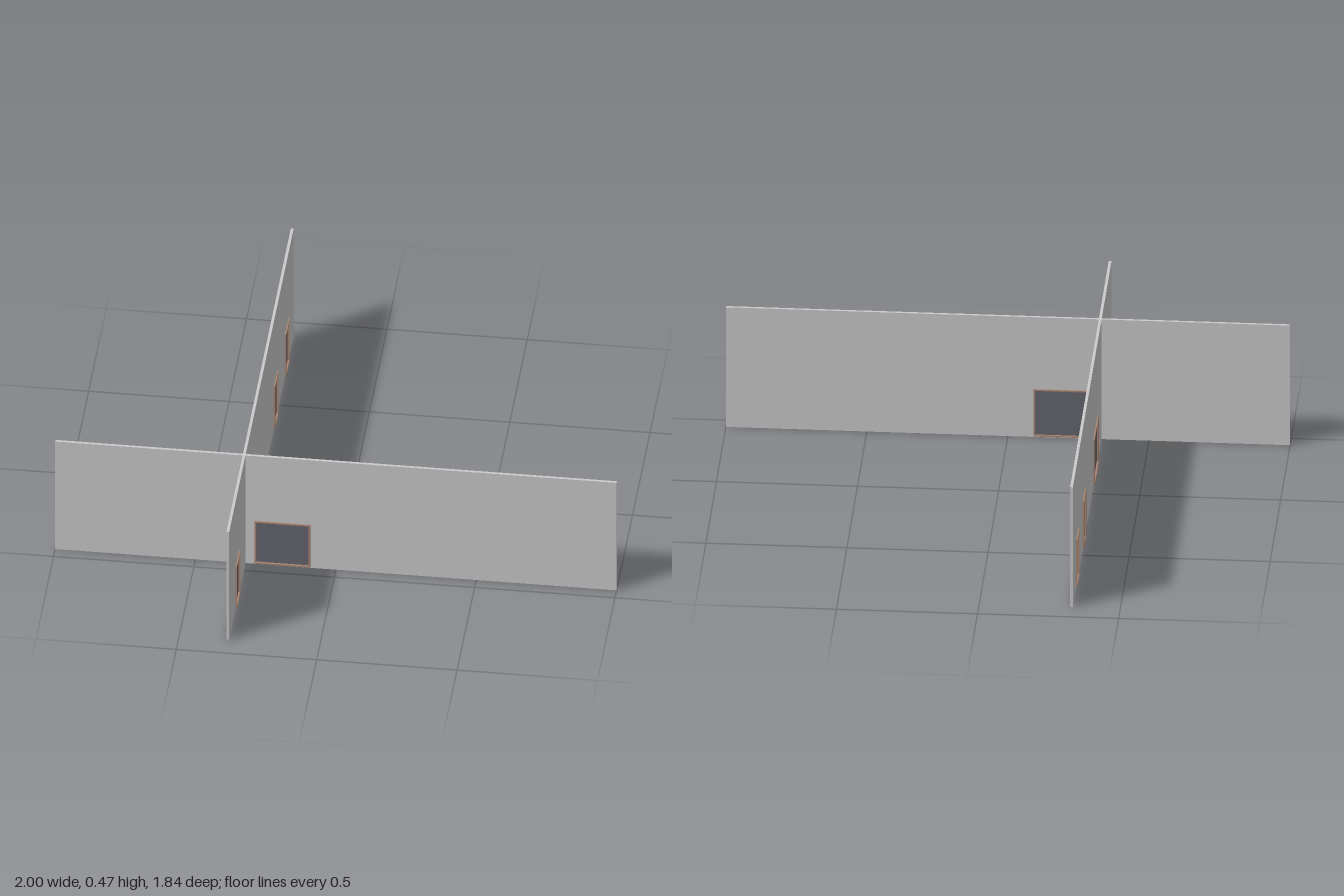
import * as THREE from 'three';

const WALL_H = 0.47, WALL_T = 0.01;
const DOOR_TOP = 0.188, DOOR_BASE = 0.004, FRAME = 0.005, FRAME_T = 0.02;

const grey = new THREE.MeshStandardMaterial({ color: 0xcccccc });
const dark = new THREE.MeshStandardMaterial({ color: 0x666670 });
const brown = new THREE.MeshStandardMaterial({ color: 0xa98672 });

function rect(target, x0, y0, x1, y1) {
  target.moveTo(x0, y0);
  target.lineTo(x1, y0);
  target.lineTo(x1, y1);
  target.lineTo(x0, y1);
  target.closePath();
  return target;
}

// Slab in the xy plane, centred on z = 0
function slab(name, shape, depth, material) {
  const geo = new THREE.ExtrudeGeometry(shape, { depth, bevelEnabled: false });
  geo.translate(0, 0, -depth / 2);
  const mesh = new THREE.Mesh(geo, material);
  mesh.name = name;
  return mesh;
}

// Frame ring around one or two thin leaves
function door({ at, width, leaves }) {
  const g = new THREE.Group();
  g.name = leaves > 1 ? 'doubleDoor' : 'singleDoor';
  const half = width / 2, inner = half - FRAME;
  const ring = rect(new THREE.Shape(), -half, DOOR_BASE, half, DOOR_TOP);
  ring.holes.push(rect(new THREE.Path(), -inner, DOOR_BASE + FRAME, inner, DOOR_TOP - FRAME));
  g.add(slab('doorFrame', ring, FRAME_T, brown));

  const leafW = 2 * inner / leaves, gap = leaves > 1 ? 0.001 : 0;
  const h = DOOR_TOP - DOOR_BASE - 2 * FRAME;
  for (let i = 0; i < leaves; i++) {
    const leaf = new THREE.Mesh(new THREE.BoxGeometry(leafW - gap, h, 0.006), dark);
    leaf.name = 'doorLeaf';
    leaf.position.set(-inner + leafW * (i + 0.5), DOOR_BASE + FRAME + h / 2, 0);
    g.add(leaf);
  }
  g.position.x = at;
  return g;
}

// Wall with an opening for every door
function wall(name, length, doors) {
  const g = new THREE.Group();
  g.name = name;
  const shape = rect(new THREE.Shape(), -length / 2, 0, length / 2, WALL_H);
  for (const d of doors) {
    const half = d.width / 2 - FRAME / 2;
    shape.holes.push(rect(new THREE.Path(), d.at - half, DOOR_BASE + FRAME / 2, d.at + half, DOOR_TOP - FRAME / 2));
    g.add(door(d));
  }
  g.add(slab('wallPanel', shape, WALL_T, grey));
  return g;
}

export function createModel() {
  const model = new THREE.Group();
  model.name = 'crossedWalls';

  // Wall running left to right
  const crossWall = wall('crossWall', 2, [{ at: -0.19, width: 0.198, leaves: 2 }]);
  crossWall.position.z = 0.45;

  // Wall running back to front; its local x becomes -z
  const longWall = wall('longWall', 1.838, [
    { at: -0.686, width: 0.1, leaves: 1 },
    { at: -0.15, width: 0.198, leaves: 2 },
    { at: 0.4, width: 0.1, leaves: 1 },
    { at: 0.715, width: 0.1, leaves: 1 },
  ]);
  longWall.rotation.y = Math.PI / 2;
  longWall.position.x = -0.327;

  model.add(crossWall, longWall);
  return model;
}
